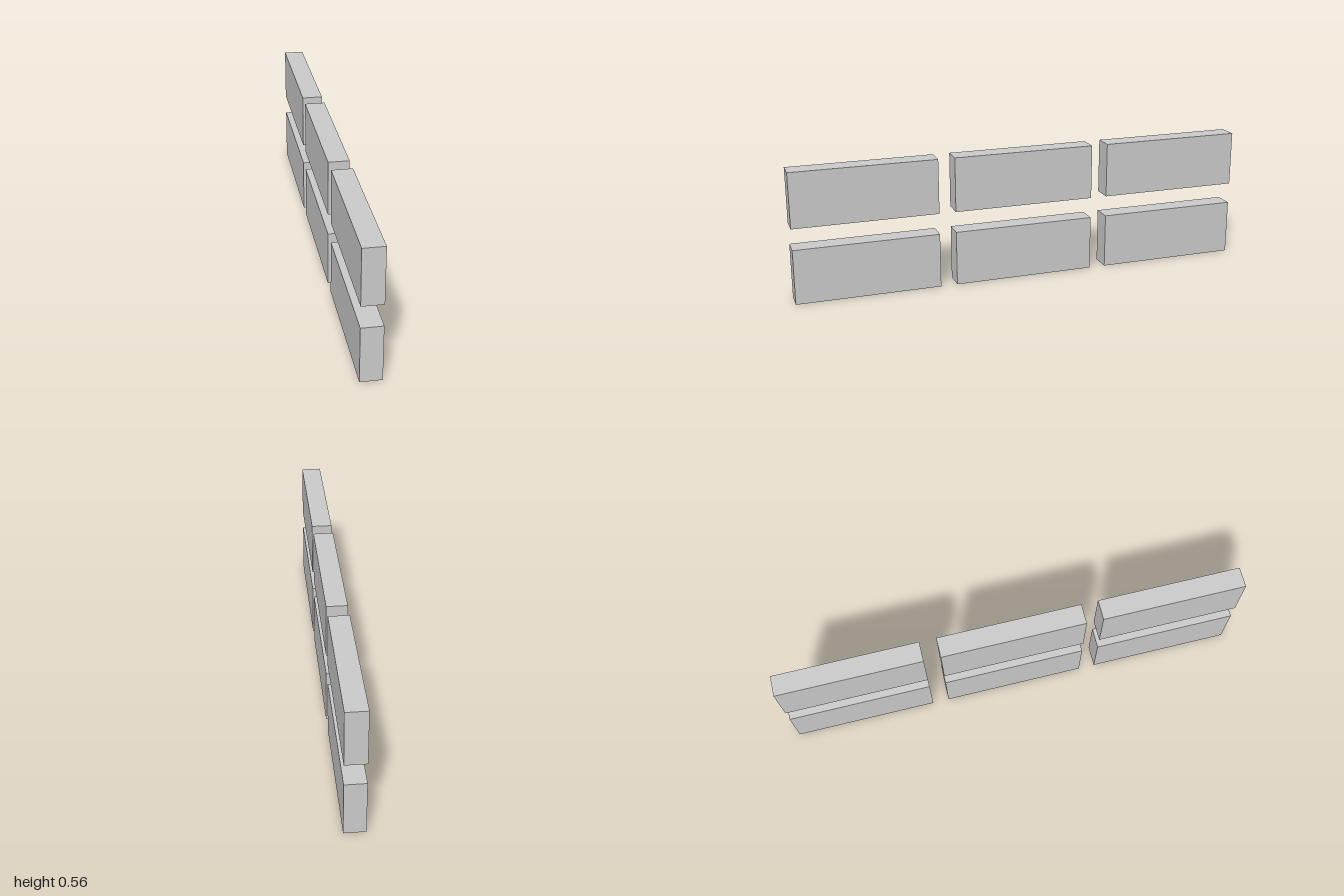
import * as THREE from 'three';

export function createModel() {
  const group = new THREE.Group();
  group.name = 'blockGrid';
  const material = new THREE.MeshStandardMaterial({ color: 0xcccccc, flatShading: true });

  const width = 0.088, height = 0.237, length = 0.619;
  const rowStep = 0.328, columnStep = 0.6905;
  const block = new THREE.BoxGeometry(width, height, length);

  // Two rows of three upright blocks with gaps between them
  ['lower', 'upper'].forEach((row, r) => {
    ['Back', 'Middle', 'Front'].forEach((column, c) => {
      const mesh = new THREE.Mesh(block, material);
      mesh.name = `${row}${column}Block`;
      mesh.position.set(0, height / 2 + r * rowStep, (c - 1) * columnStep);
      group.add(mesh);
    });
  });
  return group;
}
